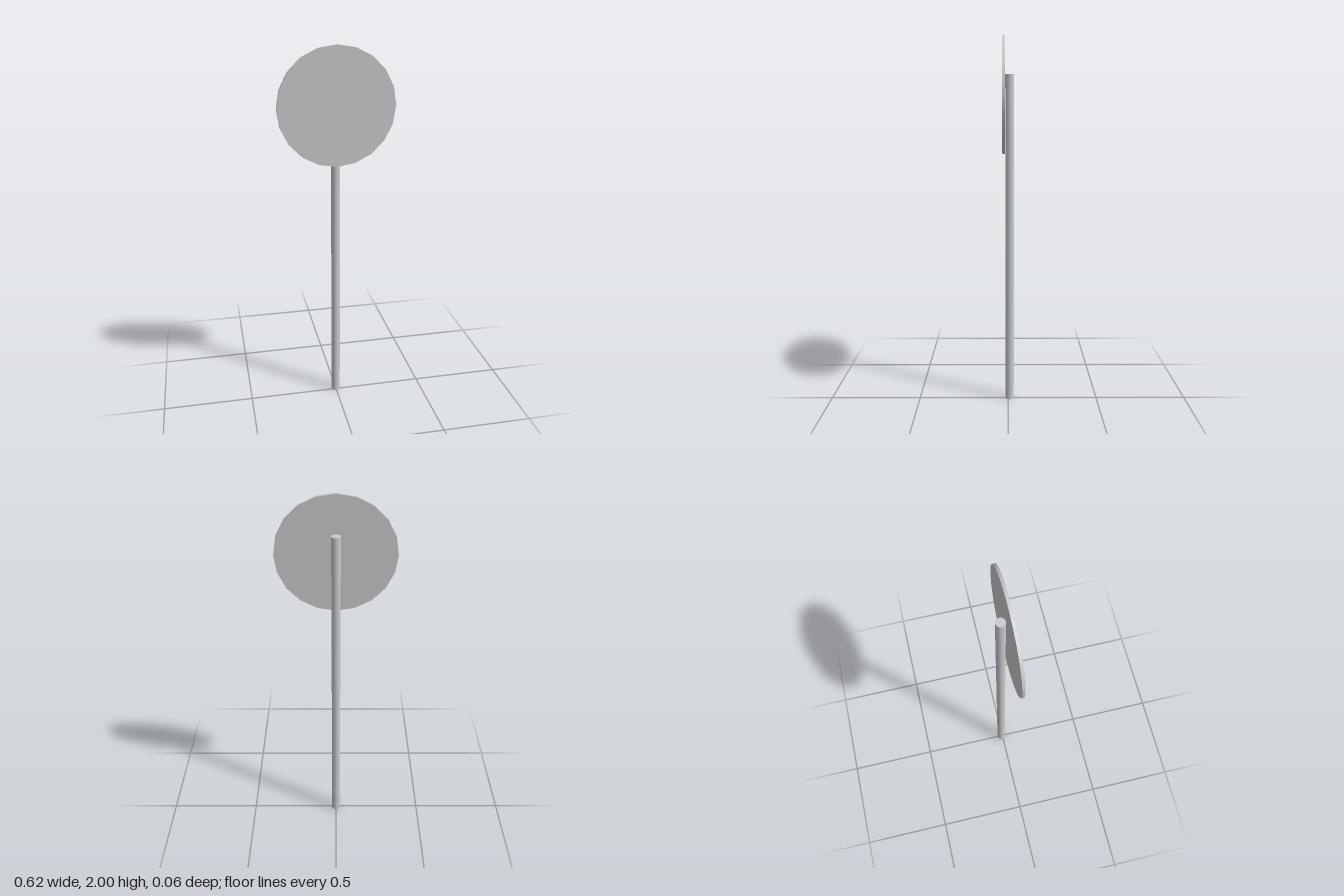
import * as THREE from 'three';

export function createModel() {
  const group = new THREE.Group();
  const material = new THREE.MeshStandardMaterial({ color: 0xcccccc });

  // Upright post, with flats facing the axes
  const postHeight = 1.8;
  const postGeometry = new THREE.CylinderGeometry(0.0243, 0.0243, postHeight, 12);
  postGeometry.rotateY(Math.PI / 12);
  const post = new THREE.Mesh(postGeometry, material);
  post.name = 'post';
  post.position.set(0, postHeight / 2, -0.0085);
  group.add(post);

  // Round sign plate fixed to the front of the post
  const radius = 0.308;
  const plateGeometry = new THREE.CylinderGeometry(radius, radius, 0.015, 20);
  plateGeometry.rotateX(Math.PI / 2);
  const plate = new THREE.Mesh(plateGeometry, material);
  plate.name = 'signPlate';
  plate.position.set(0, 2 - radius, 0.0235);
  group.add(plate);

  return group;
}
